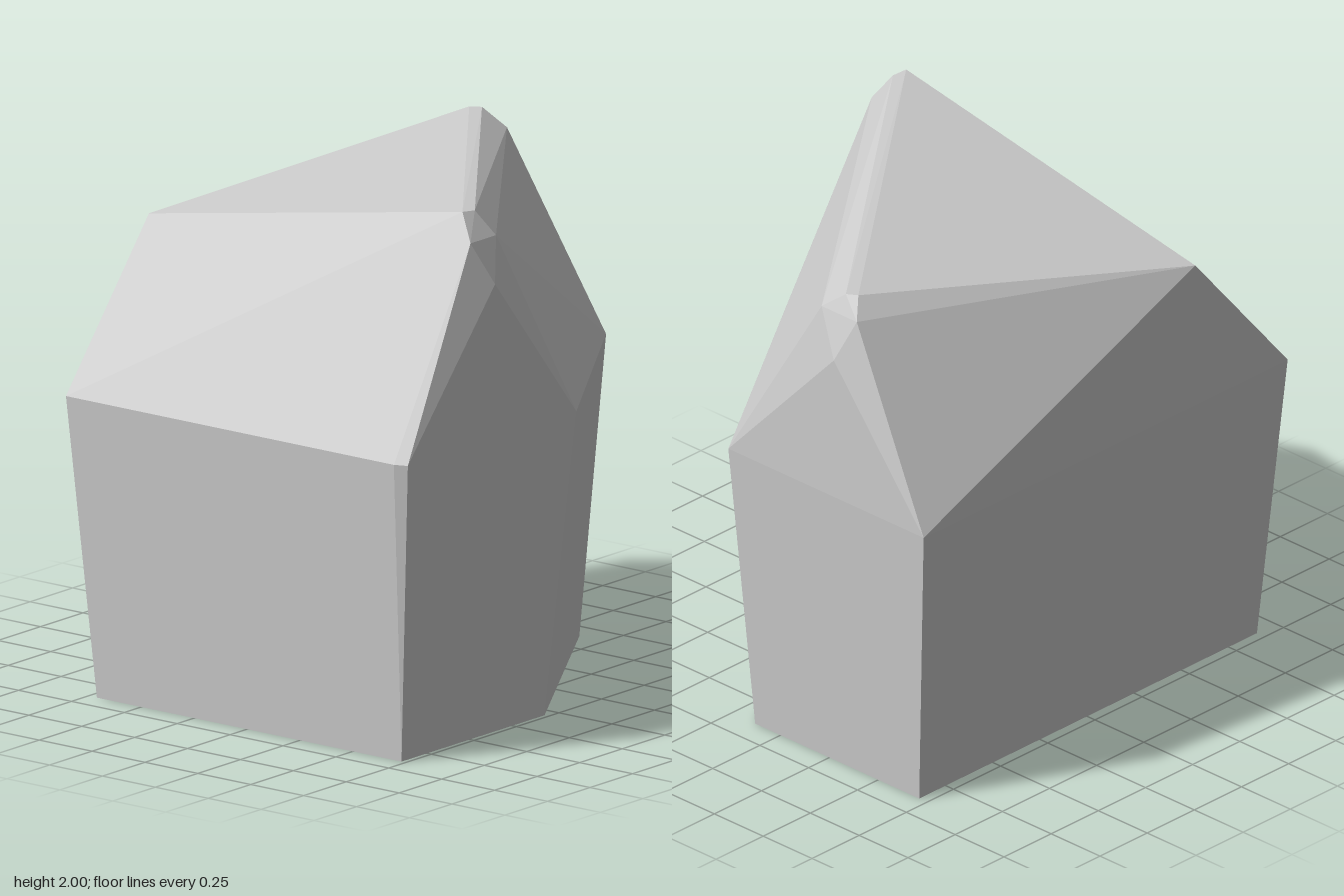
import * as THREE from 'three';
import { ConvexGeometry } from 'three/addons/geometries/ConvexGeometry.js';

export function createModel() {
  const group = new THREE.Group();
  group.name = 'rock';
  const material = new THREE.MeshStandardMaterial({ color: 0xcccccc, flatShading: true });

  // Base outline resting on the ground
  const base = [[-0.9, -0.71], [0.89, -0.71], [0.89, 0.13], [-0.06, 0.73], [-0.9, 0.73]]
    .map(([x, z]) => new THREE.Vector3(x, 0, z));

  // Wider shoulder outline, with one small bevelled corner
  const shoulder = [[-0.97, -0.8], [0.96, -0.8], [0.96, 0.2], [0.04, 0.8], [-0.95, 0.8], [-0.97, 0.75]]
    .map(([x, z]) => new THREE.Vector3(x, 1.15, z));

  // Two chipped peaks joined by a ridge, and one lower point at the back
  const crown = [
    [-0.48, 2.0, 0.68], [-0.42, 1.995, 0.69], [-0.52, 1.9, 0.75], [-0.37, 1.9, 0.75], [-0.45, 1.74, 0.81],
    [0.84, 1.95, -0.35], [0.865, 1.95, -0.31], [0.9, 1.88, -0.4], [0.9, 1.88, -0.22], [0.96, 1.72, -0.34],
    [-0.47, 1.74, -0.81],
  ].map((p) => new THREE.Vector3(...p));

  // The faceted body is the hull around the three rings
  const body = new THREE.Mesh(new ConvexGeometry([...base, ...shoulder, ...crown]), material);
  body.name = 'rockBody';
  group.add(body);
  return group;
}
